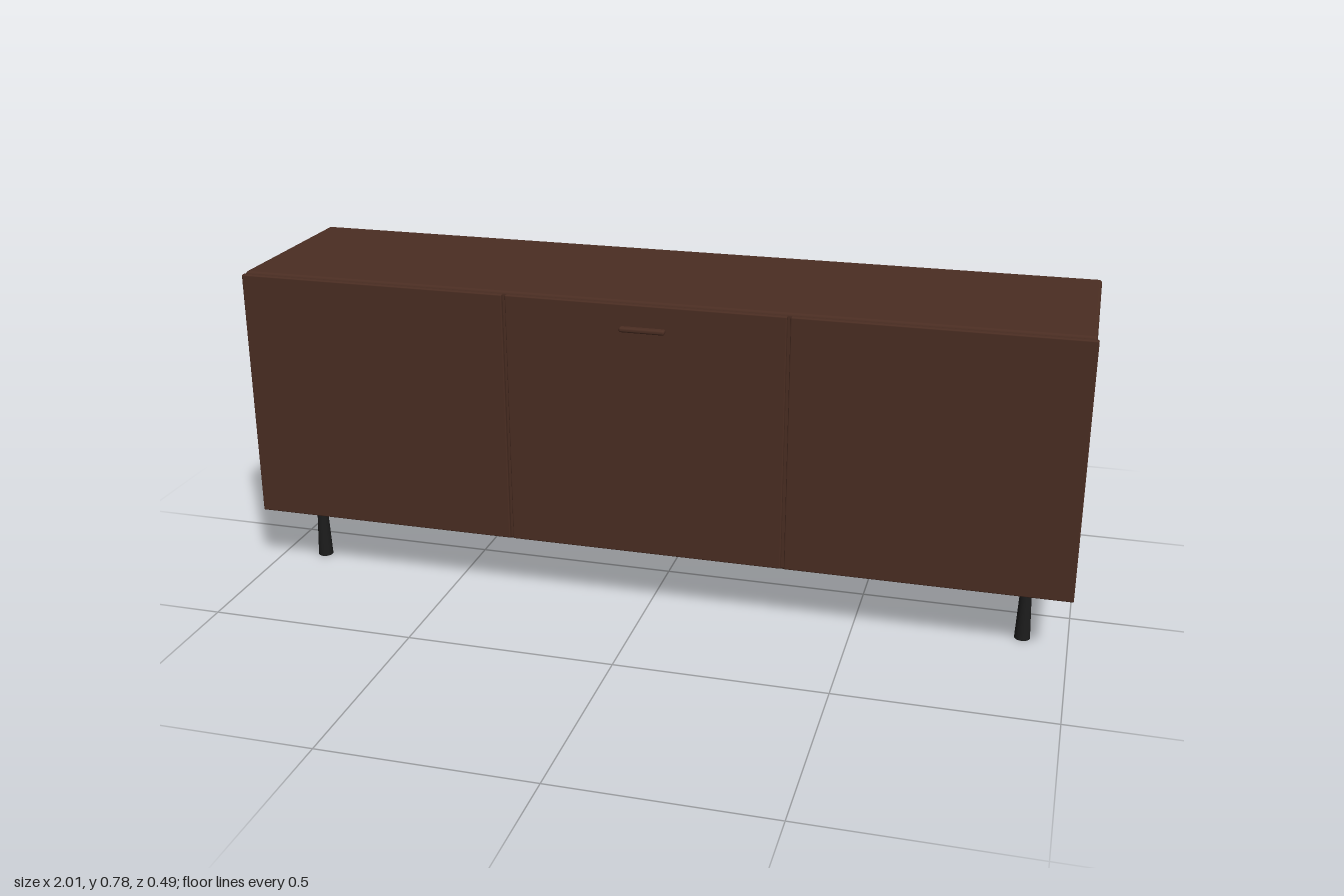
import * as THREE from 'three';
import { RoundedBoxGeometry } from 'three/addons/geometries/RoundedBoxGeometry.js';

export function createModel() {
  const model = new THREE.Group();
  model.name = 'sideboard';

  const wood = new THREE.MeshStandardMaterial({ color: 0x4a2d22 });
  wood.name = 'dark walnut';
  const black = new THREE.MeshStandardMaterial({ color: 0x1c1c1c });
  black.name = 'black legs';

  function add(name, geometry, material, x, y, z) {
    const mesh = new THREE.Mesh(geometry, material);
    mesh.name = name;
    mesh.position.set(x, y, z);
    model.add(mesh);
    return mesh;
  }

  // Cabinet body with softly rounded edges
  add('cabinet', new RoundedBoxGeometry(2, 0.63, 0.462, 4, 0.008), wood, 0, 0.465, -0.011);

  // Three doors separated by narrow gaps
  const doorWidth = 0.664;
  const doorGap = 0.008;
  ['rightDoor', 'middleDoor', 'leftDoor'].forEach((name, i) => {
    add(name, new RoundedBoxGeometry(doorWidth, 0.618, 0.014, 3, 0.003), wood,
      (i - 1) * (doorWidth + doorGap), 0.465, 0.223);
  });

  // Slim bar pull on the middle door
  add('handle', new RoundedBoxGeometry(0.108, 0.012, 0.017, 4, 0.005), wood, 0, 0.717, 0.2365);

  // Round legs, wider at the foot
  const legGeometry = new THREE.CylinderGeometry(0.012, 0.0185, 0.152, 24);
  for (const [side, x] of [['Left', 0.895], ['Right', -0.895]]) {
    for (const [end, z] of [['front', 0.126], ['back', -0.148]]) {
      add(`${end}${side}Leg`, legGeometry, black, x, 0.076, z);
    }
  }

  return model;
}
